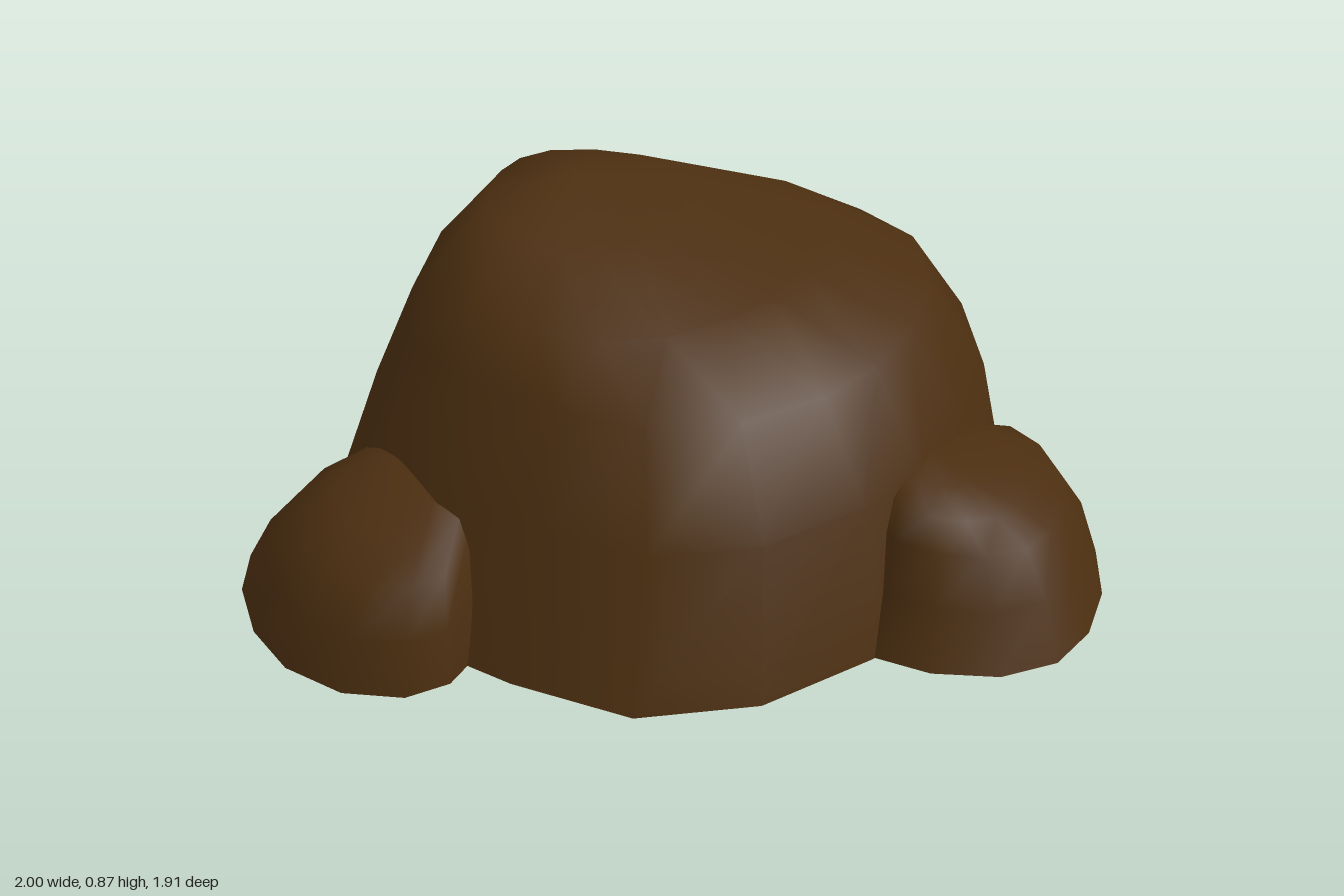
import * as THREE from 'three';

const earth = new THREE.MeshStandardMaterial({ color: 0x4b2e10, side: THREE.DoubleSide });
earth.name = 'darkBrownStone';

// Open-bottomed dome: a footprint refitted to each ring's extents, closed by a peak.
// Ring: [left, right, back, front, height, slope along x, slope along z]
function boulder(name, footprint, rings, peak) {
  const xs = footprint.map(p => p[0]), zs = footprint.map(p => p[1]);
  const x0 = Math.min(...xs), w = Math.max(...xs) - x0;
  const z0 = Math.min(...zs), d = Math.max(...zs) - z0;
  const n = footprint.length;
  const pos = [], index = [];

  // ground ring and the rings above it
  footprint.forEach(([x, z]) => pos.push(x, 0, z));
  for (const [left, right, back, front, y, sx, sz] of rings) {
    for (const [px, pz] of footprint) {
      const x = THREE.MathUtils.lerp(left, right, (px - x0) / w);
      const z = THREE.MathUtils.lerp(back, front, (pz - z0) / d);
      pos.push(x, y + sx * (x - (left + right) / 2) + sz * (z - (back + front) / 2), z);
    }
  }
  pos.push(...peak);

  // sides, then the fan around the peak
  for (let i = 0; i <= rings.length; i++) {
    for (let j = 0; j < n; j++) {
      const a = i * n + j, b = i * n + (j + 1) % n;
      if (i < rings.length) index.push(a, a + n, b, b, a + n, b + n);
      else index.push(a, pos.length / 3 - 1, b);
    }
  }

  const g = new THREE.BufferGeometry();
  g.setAttribute('position', new THREE.Float32BufferAttribute(pos, 3));
  g.setIndex(index);
  g.computeVertexNormals();
  const mesh = new THREE.Mesh(g, earth);
  mesh.name = name;
  return mesh;
}

export function createModel() {
  const group = new THREE.Group();
  group.name = 'boulderCluster';

  // Large boulder, with a flat ridge on the -x side
  group.add(boulder('largeBoulder', [
    [-1, 0.08], [-0.99, -0.17], [-0.85, -0.44], [-0.54, -0.7], [-0.16, -0.89],
    [0.16, -0.955], [0.41, -0.85], [0.6, -0.55], [0.65, -0.25], [0.65, 0.03],
    [0.58, 0.27], [0.42, 0.54], [0.18, 0.715], [-0.13, 0.745], [-0.45, 0.73],
    [-0.77, 0.6], [-0.96, 0.31],
  ], [
    [-0.89, 0.56, -0.9, 0.6, 0.355, 0, 0],
    [-0.81, 0.41, -0.785, 0.45, 0.58, 0, 0],
    [-0.73, 0.13, -0.67, 0.35, 0.705, -0.05, 0.04],
    [-0.63, -0.2, -0.41, 0.14, 0.81, -0.19, 0],
  ], [-0.45, 0.865, -0.13]));

  // Small boulder at the front
  group.add(boulder('frontBoulder', [
    [-0.985, 0.52], [-0.925, 0.37], [-0.83, 0.31], [-0.63, 0.27], [-0.41, 0.37],
    [-0.28, 0.54], [-0.255, 0.71], [-0.255, 0.81], [-0.32, 0.9], [-0.46, 0.955],
    [-0.63, 0.945], [-0.78, 0.875], [-0.91, 0.76], [-0.98, 0.64],
  ], [
    [-0.9, -0.265, 0.31, 0.92, 0.14, 0, 0],
    [-0.8, -0.295, 0.34, 0.85, 0.255, 0, -0.04],
    [-0.71, -0.34, 0.38, 0.745, 0.318, 0, -0.1],
    [-0.64, -0.43, 0.42, 0.61, 0.345, 0, -0.15],
  ], [-0.56, 0.362, 0.5]));

  // Small boulder at the +x side
  group.add(boulder('sideBoulder', [
    [0.385, -0.23], [0.48, -0.46], [0.66, -0.55], [0.79, -0.5], [0.91, -0.38],
    [0.98, -0.22], [1, -0.06], [0.97, 0.08], [0.87, 0.19], [0.72, 0.255],
    [0.58, 0.265], [0.45, 0.16], [0.375, -0.02],
  ], [
    [0.4, 0.935, -0.53, 0.2, 0.135, 0, 0],
    [0.42, 0.87, -0.47, 0.155, 0.25, -0.06, 0.04],
    [0.44, 0.78, -0.35, 0.1, 0.312, -0.12, 0.05],
    [0.47, 0.66, -0.2, 0.03, 0.345, -0.12, 0.08],
  ], [0.54, 0.366, -0.1]));

  return group;
}
